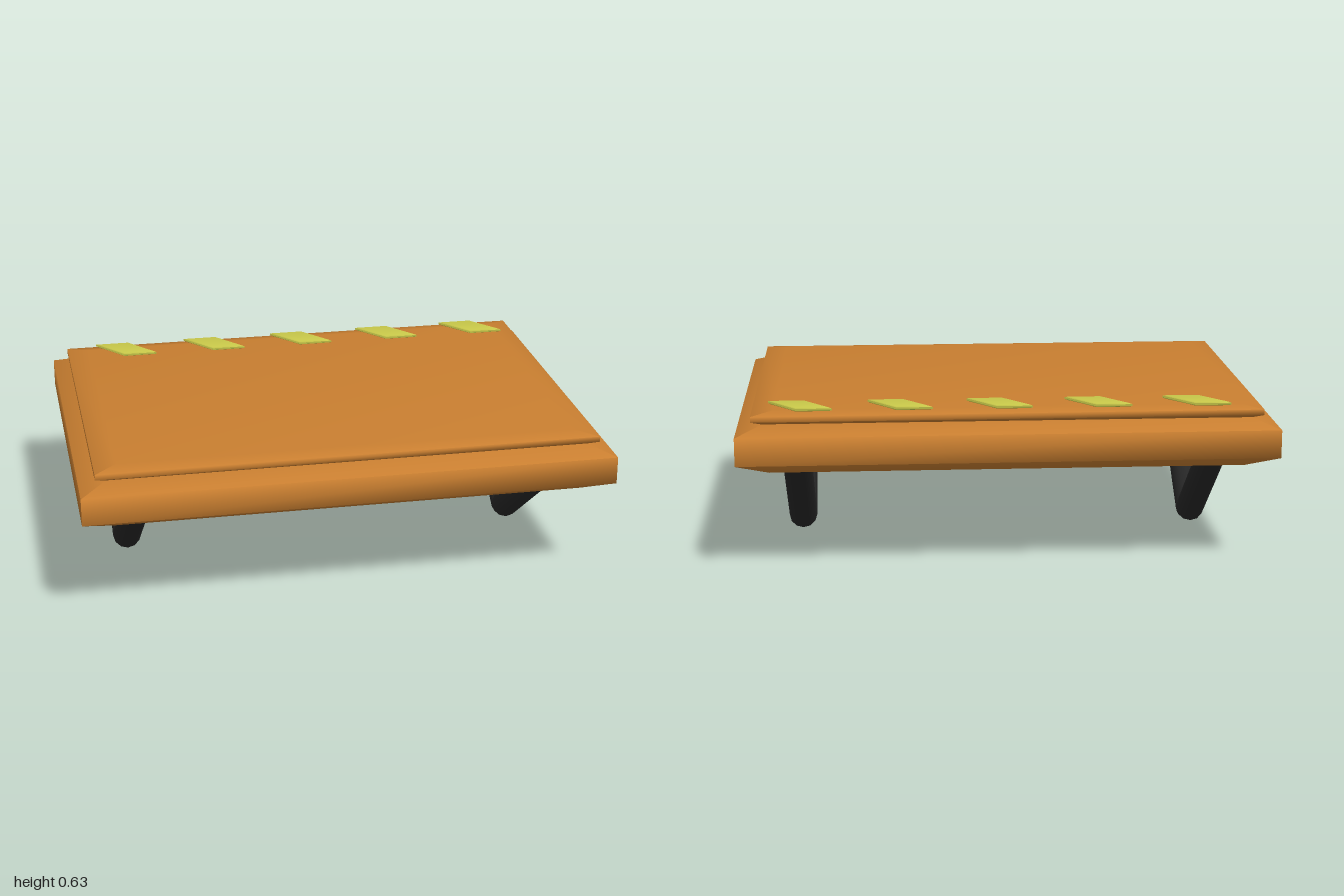
import * as THREE from 'three';
import { toCreasedNormals } from 'three/addons/utils/BufferGeometryUtils.js';

// Rectangular solid lofted through [halfX, halfZ, y] loops, bottom to top; skew shears x along z
function loftSlab(loops, skew = 0) {
  const positions = [];
  const index = [];
  const corners = [[-1, 1], [1, 1], [1, -1], [-1, -1]];
  for (const [hx, hz, y] of loops) {
    for (const [sx, sz] of corners) positions.push(sx * hx + sz * hz * skew, y, sz * hz);
  }
  for (let i = 0; i < loops.length - 1; i++) {
    for (let j = 0; j < 4; j++) {
      const a = i * 4 + j, b = i * 4 + (j + 1) % 4;
      index.push(a, b, b + 4, a, b + 4, a + 4);
    }
  }
  const t = (loops.length - 1) * 4;
  index.push(0, 2, 1, 0, 3, 2, t, t + 1, t + 2, t, t + 2, t + 3);
  const geometry = new THREE.BufferGeometry();
  geometry.setAttribute('position', new THREE.Float32BufferAttribute(positions, 3));
  geometry.setIndex(index);
  return toCreasedNormals(geometry, THREE.MathUtils.degToRad(85));
}

function addMesh(parent, name, geometry, material) {
  const mesh = new THREE.Mesh(geometry, material);
  mesh.name = name;
  parent.add(mesh);
  return mesh;
}

export function createModel() {
  const model = new THREE.Group();
  model.name = 'slab';

  const wood = new THREE.MeshStandardMaterial({ name: 'orange wood', color: 0xc87e30 });
  const yellow = new THREE.MeshStandardMaterial({ name: 'marking yellow', color: 0xcaca4a });
  const black = new THREE.MeshStandardMaterial({ name: 'black metal', color: 0x262626 });

  // Thick bevelled body
  addMesh(model, 'body', loftSlab([
    [0.88, 0.635, 0.392], [1, 0.717, 0.437], [1, 0.717, 0.542], [0.9, 0.64, 0.577],
  ]), wood);

  // Thin bevelled panel on top
  addMesh(model, 'topPanel', loftSlab([
    [0.9, 0.64, 0.575], [0.943, 0.663, 0.588], [0.943, 0.663, 0.609], [0.86, 0.6, 0.62],
  ]), wood);

  // Row of slanted markings along the back edge
  const markingGeometry = loftSlab([
    [0.06, 0.06, 0.619], [0.066, 0.068, 0.623], [0.066, 0.068, 0.63], [0.06, 0.06, 0.633],
  ], 0.78);
  for (let i = -2; i <= 2; i++) {
    const marking = addMesh(model, 'marking', markingGeometry, yellow);
    marking.position.set(0.03 + i * 0.368, 0, -0.566);
  }

  // V-shaped supports, two bars each
  const low = new THREE.Vector3(0, 0.049, 0);
  const up = new THREE.Vector3(0, 1, 0);
  for (const side of [-1, 1]) {
    const support = new THREE.Group();
    support.name = side > 0 ? 'leftSupport' : 'rightSupport';
    support.position.x = side * 0.783;
    for (const dir of [-1, 1]) {
      const high = new THREE.Vector3(0, 0.409, dir * 0.492);
      const span = high.clone().sub(low);
      const bar = addMesh(support, dir > 0 ? 'frontBar' : 'backBar',
        new THREE.CylinderGeometry(0.055, 0.055, span.length(), 12), black);
      bar.position.copy(low).add(high).multiplyScalar(0.5);
      bar.quaternion.setFromUnitVectors(up, span.normalize());
    }
    model.add(support);
  }
  return model;
}
